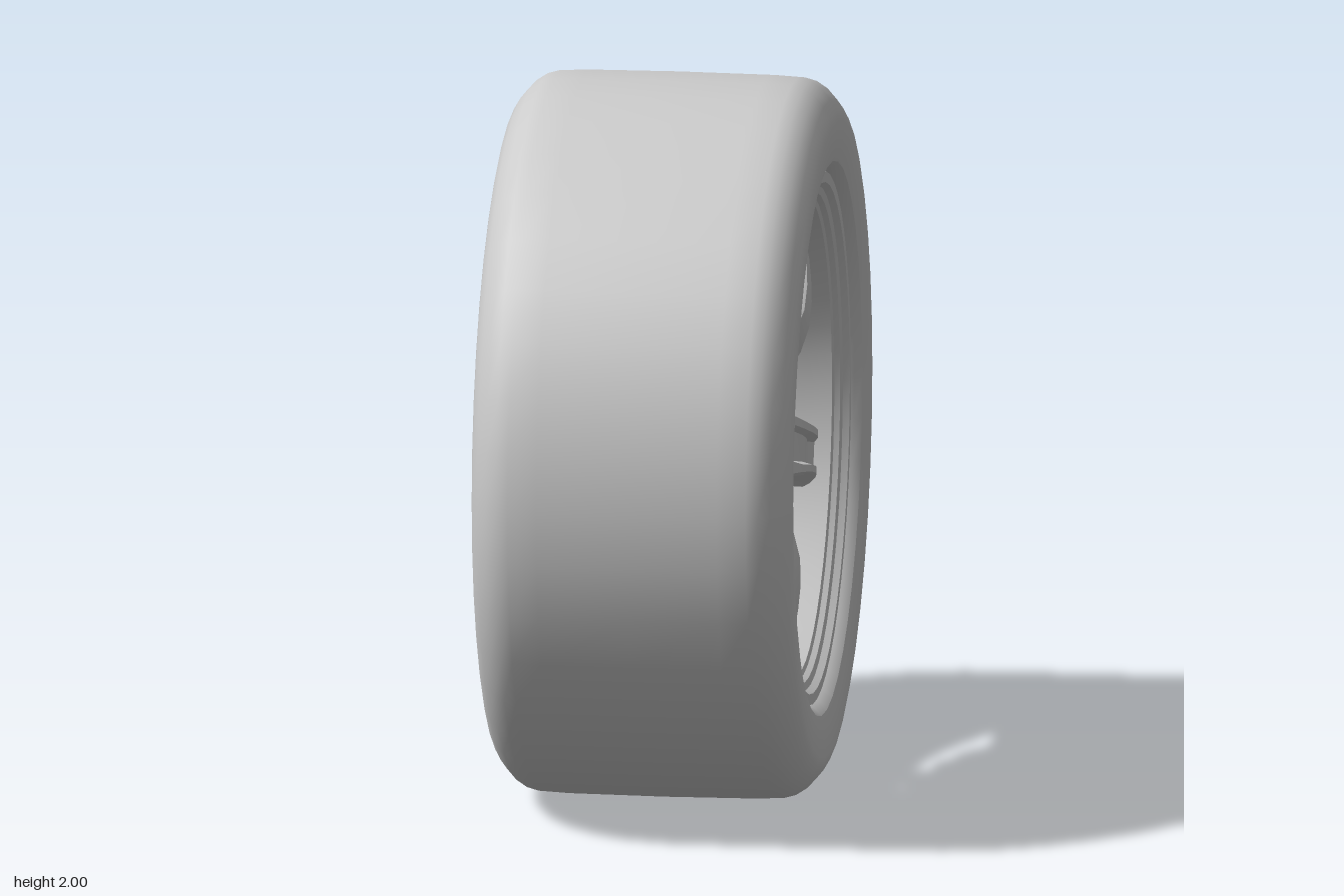
import * as THREE from 'three';
import { toCreasedNormals } from 'three/addons/utils/BufferGeometryUtils.js';

const material = new THREE.MeshStandardMaterial({ color: 0xcccccc });

function part(name, geometry, crease = 0.55) {
  const mesh = new THREE.Mesh(toCreasedNormals(geometry, crease), material);
  mesh.name = name;
  return mesh;
}

// Closed ring turned around the x axis; points are [radius, x]
function ring(name, points, segments = 48) {
  const profile = [...points, points[0]].map(([r, x]) => new THREE.Vector2(r, x));
  return part(name, new THREE.LatheGeometry(profile, segments).rotateZ(-Math.PI / 2));
}

// Spoke along +y with its face towards +x; rows are [radius, half width, face x, depth]
const spokeRows = [
  [0.12, 0.09, 0.17, 0.06], [0.19, 0.135, 0.20, 0.08], [0.207, 0.118, 0.255, 0.12],
  [0.224, 0.105, 0.283, 0.13], [0.25, 0.092, 0.308, 0.14], [0.285, 0.083, 0.328, 0.14],
  [0.355, 0.073, 0.347, 0.13], [0.43, 0.07, 0.349, 0.12], [0.50, 0.07, 0.342, 0.11],
  [0.56, 0.072, 0.332, 0.10], [0.61, 0.077, 0.319, 0.10], [0.655, 0.088, 0.30, 0.10],
];

function spokeGeometry(pocket) {
  const positions = [], index = [];
  let n = 0;
  for (const [r, w, x, depth] of spokeRows) {
    const groove = pocket && r > 0.26 && r < 0.58 ? 0.03 : 0;
    const half = [
      [0.75 * w, x - depth], [w, x - 0.6 * depth], [w, x - 0.02],
      [0.86 * w, x], [0.6 * w, x], [0.5 * w, x - groove],
    ];
    const section = [...half, ...half.map(([z, sx]) => [-z, sx]).reverse()];
    n = section.length;
    for (const [z, sx] of section) positions.push(sx, r, z);
  }
  const last = (spokeRows.length - 1) * n;
  for (let k = 0; k < last; k += n) {
    for (let i = 0; i < n; i++) {
      const j = (i + 1) % n;
      index.push(k + i, k + j, k + n + j, k + i, k + n + j, k + n + i);
    }
  }
  for (let i = 1; i < n - 1; i++) {
    index.push(0, i + 1, i, last, last + i, last + i + 1);
  }
  const geometry = new THREE.BufferGeometry();
  geometry.setAttribute('position', new THREE.Float32BufferAttribute(positions, 3));
  geometry.setIndex(index);
  return geometry;
}

export function createModel() {
  const wheel = new THREE.Group();
  wheel.name = 'wheel';

  // Tyre, mirrored from one half of its section
  const halfTyre = [
    [0.70, 0.36], [0.735, 0.385], [0.745, 0.41], [0.765, 0.43], [0.80, 0.438], [0.88, 0.443],
    [0.905, 0.438], [0.935, 0.421], [0.965, 0.394], [0.985, 0.363], [0.994, 0.33], [0.998, 0.25],
  ];
  wheel.add(ring('tyre', [
    ...halfTyre.map(([r, x]) => [r, -x]), [1, 0], ...[...halfTyre].reverse(),
  ], 40));

  // Rim: outer skin from back to front, then lip, barrel and rear steps
  wheel.add(ring('rim', [
    [0.735, -0.395], [0.70, -0.38], [0.67, -0.28], [0.61, -0.14], [0.61, 0.10], [0.68, 0.33],
    [0.70, 0.37], [0.74, 0.385], [0.735, 0.403], [0.705, 0.403], [0.695, 0.385], [0.675, 0.38],
    [0.668, 0.365], [0.655, 0.36], [0.645, 0.30], [0.635, 0.22], [0.60, 0.18], [0.595, 0.12],
    [0.555, 0.07], [0.555, -0.15], [0.61, -0.18], [0.615, -0.28], [0.655, -0.29],
    [0.66, -0.405], [0.725, -0.405],
  ]));

  // Five spokes, one of them with a sunken pocket
  for (let i = 0; i < 5; i++) {
    const spoke = part(`spoke${i + 1}`, spokeGeometry(i === 1), 0.5);
    spoke.rotation.x = Math.PI + (i * Math.PI * 2) / 5;
    wheel.add(spoke);
  }

  // Hub with a notched flat face, and the collar that joins the spoke roots
  const outline = [];
  for (let i = 0; i < 20; i++) {
    const a = (i * Math.PI) / 10, r = i % 4 === 1 ? 0.182 : 0.205;
    outline.push(new THREE.Vector2(r * Math.cos(a), r * Math.sin(a)));
  }
  const hubGeometry = new THREE.ExtrudeGeometry(new THREE.Shape(outline), { depth: 0.12, bevelEnabled: false });
  const hub = part('hub', hubGeometry.rotateY(Math.PI / 2), 0.3);
  hub.position.x = 0.1;
  wheel.add(hub);
  wheel.add(ring('hubCollar', [[0.20, 0.12], [0.235, 0.14], [0.24, 0.25], [0.23, 0.265], [0.205, 0.22]], 40));

  // Valve stem at the top of the rim
  const valve = new THREE.Group();
  valve.name = 'valve';
  const stem = part('valveStem', new THREE.CylinderGeometry(0.016, 0.022, 0.09, 10));
  const cap = part('valveCap', new THREE.CylinderGeometry(0.02, 0.02, 0.04, 10));
  cap.position.y = 0.05;
  valve.add(stem, cap);
  valve.position.set(0.28, 0.635, 0);
  valve.rotation.z = -Math.PI / 2;
  wheel.add(valve);

  wheel.position.y = 1;
  const model = new THREE.Group();
  model.add(wheel);
  return model;
}
